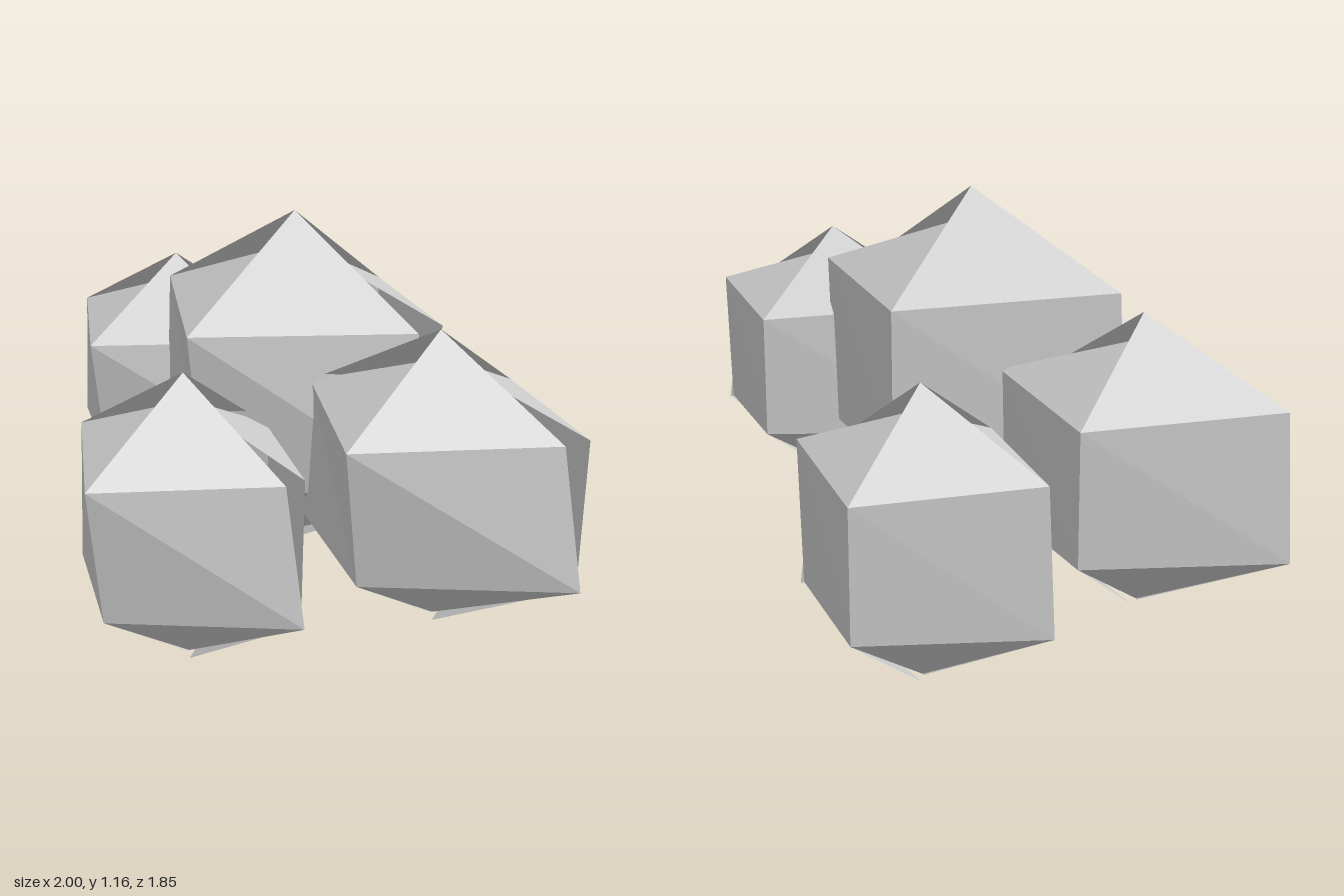
import * as THREE from 'three';

// Radius factors around the puff: +x, +z, -x, -z, and +x again (open seam)
const UPPER = [0.85, 0.96, 0.95, 0.87, 1.0];
const LOWER = [1.0, 0.84, 1.0, 0.87, 0.97];
// One apex per quadrant: front left, front right, back right, back left
const TOP = [1.0, 0.81, 1.0, 0.83];
const BOTTOM = [0.94, 0.95, 0.94, 1.0];

// Four-sided faceted puff; h is the ring radius, ry the height radius
function puffGeometry(h, ry) {
  const ring = (factors, side) => factors.map((f, k) => {
    const a = k * Math.PI / 2;
    return [Math.cos(a) * h * f, side * 0.5 * ry * f, Math.sin(a) * h * f];
  });
  const u = ring(UPPER, 1);
  const l = ring(LOWER, -1);
  const points = [];
  for (let k = 0; k < 4; k++) {
    const n = k + 1;
    points.push(
      [0, TOP[k] * ry, 0], u[n], u[k],
      u[k], u[n], l[k],
      u[n], l[n], l[k],
      l[k], l[n], [0, -BOTTOM[k] * ry, 0],
    );
  }
  const geometry = new THREE.BufferGeometry();
  geometry.setAttribute('position', new THREE.Float32BufferAttribute(points.flat(), 3));
  geometry.computeVertexNormals();
  return geometry;
}

export function createModel() {
  const group = new THREE.Group();
  group.name = 'cloud';
  const material = new THREE.MeshStandardMaterial({ color: 0xcccccc, side: THREE.DoubleSide });
  material.name = 'pale grey';

  // name, centre, ring radius, height radius
  const puffs = [
    ['centrePuff', [0, 0.685, -0.01], 0.47, 0.475],
    ['leftPuff', [0.585, 0.59, 0.185], 0.41, 0.388],
    ['rightPuff', [-0.6, 0.53, -0.215], 0.4, 0.386],
    ['frontPuff', [0.1, 0.49, 0.575], 0.367, 0.386],
    ['backPuff', [-0.2, 0.39, -0.61], 0.365, 0.387],
  ];
  for (const [name, centre, h, ry] of puffs) {
    const mesh = new THREE.Mesh(puffGeometry(h, ry), material);
    mesh.name = name;
    mesh.position.set(...centre);
    group.add(mesh);
  }
  return group;
}
